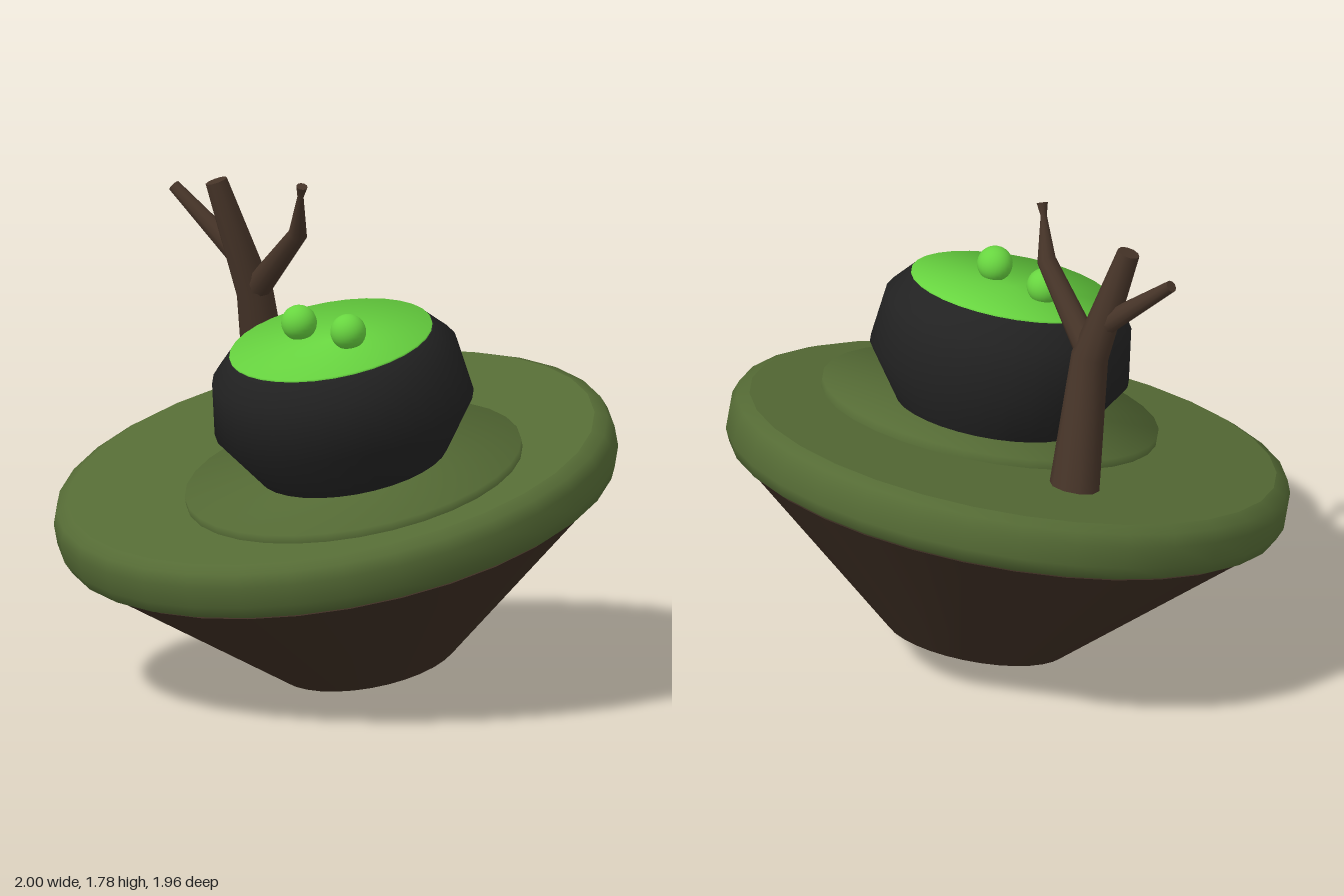
import * as THREE from 'three';

const material = (name, color) => {
  const m = new THREE.MeshStandardMaterial({ color });
  m.name = name;
  return m;
};

function lathe(points, sides = 32) {
  return new THREE.LatheGeometry(points.map(([r, y]) => new THREE.Vector2(r, y)), sides);
}

// Thin round slab whose shading rolls softly over the rim
function softSlab(radius, bottom, top) {
  const geo = lathe([[radius, bottom], [radius, top], [0, top]]);
  const pos = geo.attributes.position;
  const v = new THREE.Vector3();
  for (let i = 0; i < pos.count; i++) {
    const x = pos.getX(i) / radius, z = pos.getZ(i) / radius;
    v.set(x, pos.getY(i) > (bottom + top) / 2 ? 1 : 0, z).normalize();
    geo.attributes.normal.setXYZ(i, v.x, v.y, v.z);
  }
  return geo;
}

// Tapered limb along stations [x, y, radius] in the xy plane, capped at the tip
function limb(stations, sides = 10) {
  const verts = [], index = [];
  const ring = (i) => {
    const [x, y, r] = stations[i];
    const a = stations[Math.max(i - 1, 0)], b = stations[Math.min(i + 1, stations.length - 1)];
    const t = new THREE.Vector2(b[0] - a[0], b[1] - a[1]).normalize();
    for (let k = 0; k < sides; k++) {
      const u = (k / sides) * Math.PI * 2;
      verts.push(x - t.y * r * Math.cos(u), y + t.x * r * Math.cos(u), r * Math.sin(u));
    }
  };
  const last = stations.length - 1;
  stations.forEach((_, i) => ring(i));
  for (let i = 0; i < last; i++) {
    for (let k = 0; k < sides; k++) {
      const a = i * sides + k, b = i * sides + (k + 1) % sides;
      index.push(a, b, a + sides, b, b + sides, a + sides);
    }
  }
  // Separate tip cap keeps its edge sharp
  const cap = (last + 1) * sides;
  ring(last);
  verts.push(stations[last][0], stations[last][1], 0);
  for (let k = 0; k < sides; k++) index.push(cap + sides, cap + k, cap + (k + 1) % sides);

  const geo = new THREE.BufferGeometry();
  geo.setAttribute('position', new THREE.Float32BufferAttribute(verts, 3));
  geo.setIndex(index);
  geo.computeVertexNormals();
  return geo;
}

export function createModel() {
  const earth = material('earth', 0x3d2e23);
  const grass = material('grass', 0x556b35);
  const iron = material('black iron', 0x222222);
  const brew = material('green brew', 0x68d540);
  const bark = material('bark', 0x463428);

  const model = new THREE.Group();
  model.name = 'floatingIsland';

  // Everything leans forward together
  const island = new THREE.Group();
  island.name = 'tiltedIsland';
  island.rotation.x = 0.25;
  island.position.set(0, 0.08, -0.157);
  model.add(island);

  const add = (name, geo, mat, x = 0, y = 0, z = 0, parent = island) => {
    const mesh = new THREE.Mesh(geo, mat);
    mesh.name = name;
    mesh.position.set(x, y, z);
    parent.add(mesh);
    return mesh;
  };

  // Earth cone below, rounded grass disc on top
  add('earthBase', new THREE.CylinderGeometry(0.945, 0.32, 0.55, 32), earth, 0, 0.275, 0);
  add('grassDisc', lathe([
    [0, 0.552], [0.94, 0.552], [0.94, 0.552], [0.98, 0.57], [1, 0.615],
    [1, 0.69], [0.983, 0.735], [0.94, 0.756], [0.94, 0.756], [0, 0.756],
  ]), grass);
  add('grassMound', softSlab(0.6, 0.75, 0.786), grass, 0.2, 0, 0.092);

  // Cauldron with brew and two bubbles
  const cauldron = new THREE.Group();
  cauldron.name = 'cauldron';
  cauldron.position.set(0.15, 0, 0.037);
  island.add(cauldron);
  add('pot', lathe([
    [0, 0.775], [0.33, 0.775], [0.33, 0.775], [0.462, 0.97], [0.438, 1.16],
    [0.366, 1.24], [0.366, 1.24], [0, 1.24],
  ]), iron, 0, 0, 0, cauldron);
  add('brewSurface', softSlab(0.362, 1.238, 1.247), brew, 0, 0, 0, cauldron);
  for (const x of [-0.135, 0.105]) {
    add('bubble', new THREE.SphereGeometry(0.063, 24, 16), brew, x, 1.295, 0.008, cauldron);
  }

  // Bare tree, all limbs in one plane
  const tree = new THREE.Group();
  tree.name = 'tree';
  tree.position.z = -0.22;
  island.add(tree);
  add('trunk', limb([[-0.5, 0.735, 0.09], [-0.462, 1.23, 0.066], [-0.552, 1.647, 0.04]]), bark, 0, 0, 0, tree);
  add('rightBranch', limb([[-0.77, 1.597, 0.022], [-0.5, 1.36, 0.042]].reverse()), bark, 0, 0, 0, tree);
  add('leftBranch', limb([
    [-0.46, 1.24, 0.05], [-0.19, 1.495, 0.034], [-0.142, 1.645, 0.011], [-0.125, 1.687, 0.02],
  ]), bark, 0, 0, 0, tree);

  return model;
}
